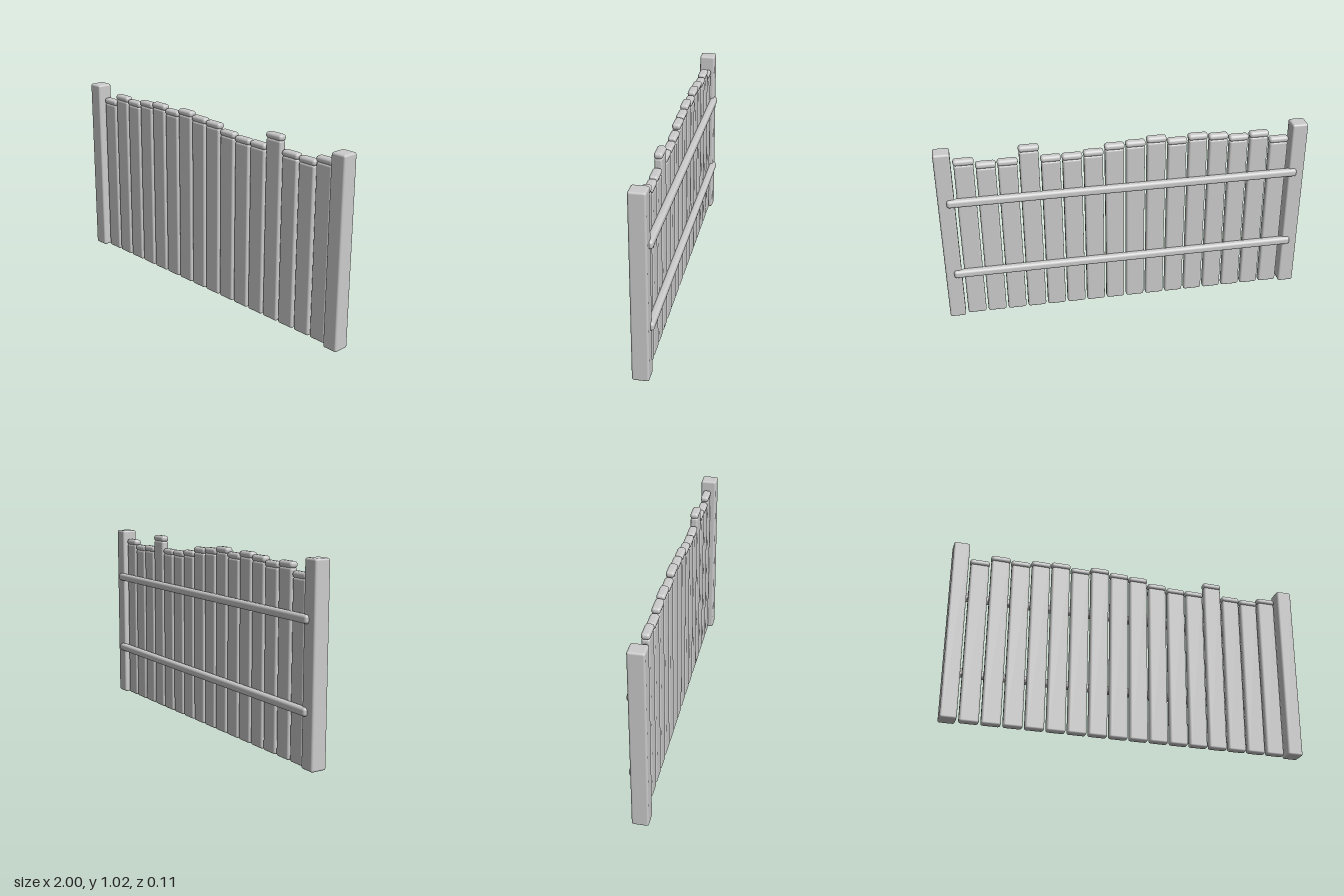
import * as THREE from 'three';
import { RoundedBoxGeometry } from 'three/addons/geometries/RoundedBoxGeometry.js';

const material = new THREE.MeshStandardMaterial({ color: 0xcccccc });

// Bevelled timber given by its size, bevel and centre
function timber(name, [w, h, d], bevel, [x, y, z]) {
  const mesh = new THREE.Mesh(new RoundedBoxGeometry(w, h, d, 2, bevel), material);
  mesh.name = name;
  mesh.position.set(x, y, z);
  return mesh;
}

export function createModel() {
  const fence = new THREE.Group();
  fence.name = 'fence';

  // End posts
  const postHeight = 1.022;
  for (const side of [-1, 1]) {
    fence.add(timber(side > 0 ? 'leftPost' : 'rightPost',
      [0.087, postHeight, 0.088], 0.011, [side * 0.9565, postHeight / 2, 0.009]));
  }

  // Horizontal rails behind the planks
  for (const [name, y] of [['lowerRail', 0.288], ['upperRail', 0.734]]) {
    fence.add(timber(name, [1.91, 0.044, 0.04], 0.015, [0, y, -0.033]));
  }

  // Uneven planks, each with a rounded cap
  const tops = [0.947, 0.989, 0.978, 0.995, 1.005, 0.989, 1.01, 0.995,
    0.989, 0.962, 0.951, 0.951, 1.021, 0.951, 0.946, 0.973];
  const capHeight = 0.034;
  tops.forEach((top, i) => {
    const x = -0.848 + i * 0.11307;
    const h = top - capHeight + 0.004;
    fence.add(timber('plank', [0.102, h, 0.042], 0.012, [x, h / 2, 0.004]));
    fence.add(timber('plankCap', [0.109, capHeight, 0.046], 0.015, [x, top - capHeight / 2, 0.004]));
  });

  return fence;
}
